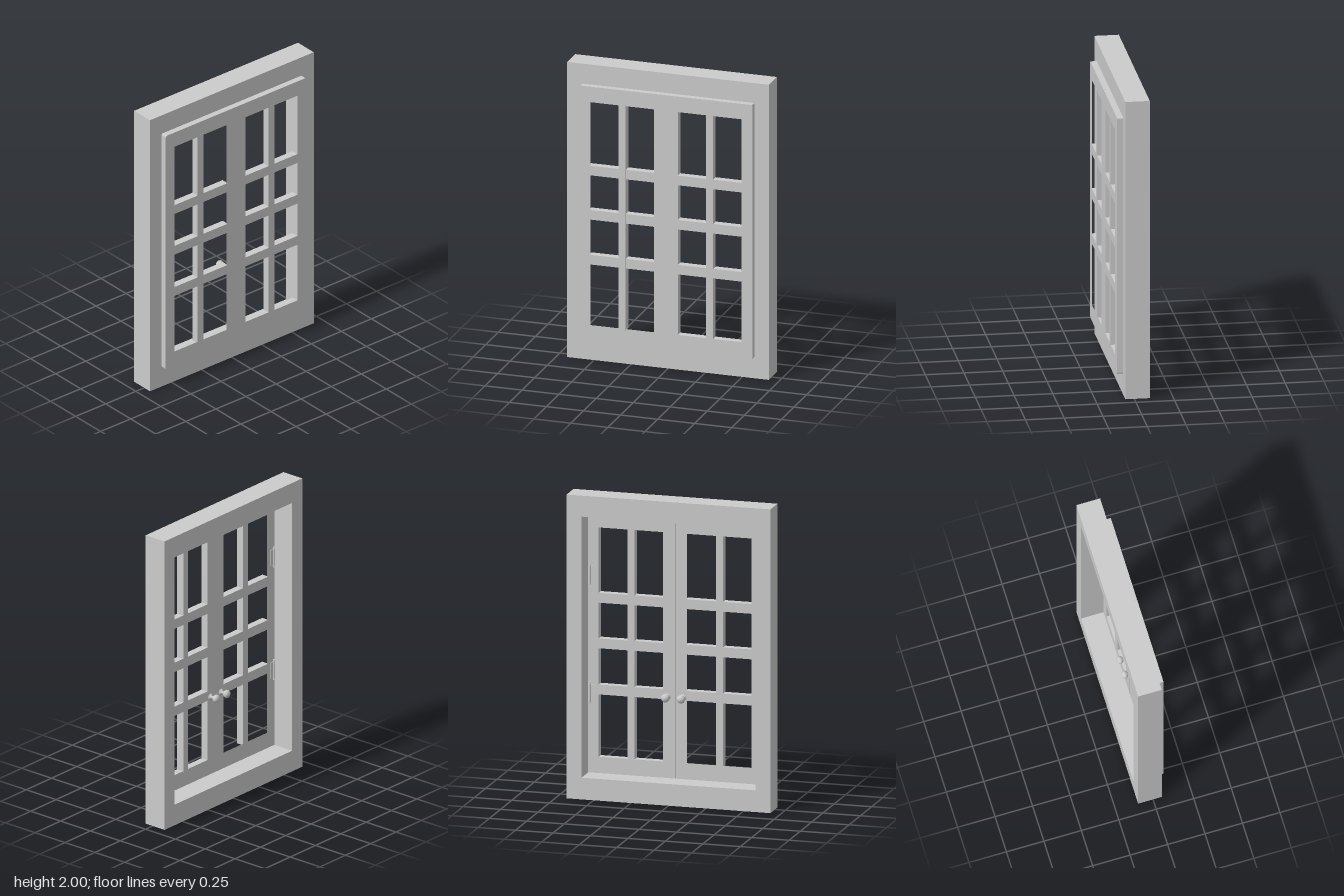
import * as THREE from 'three';

const material = new THREE.MeshStandardMaterial({ color: 0xcccccc });

function add(parent, name, geometry, x = 0, y = 0, z = 0) {
  const mesh = new THREE.Mesh(geometry, material);
  mesh.name = name;
  mesh.position.set(x, y, z);
  parent.add(mesh);
  return mesh;
}

// Rectangle outline; the two corners at the x1 side are rounded by r
function rect(x0, y0, x1, y1, r = 0, Type = THREE.Shape) {
  const s = new Type();
  s.moveTo(x0, y0);
  if (r > 0) {
    const d = Math.sign(x1 - x0) * r;
    s.lineTo(x1 - d, y0);
    s.quadraticCurveTo(x1, y0, x1, y0 + r);
    s.lineTo(x1, y1 - r);
    s.quadraticCurveTo(x1, y1, x1 - d, y1);
  } else {
    s.lineTo(x1, y0);
    s.lineTo(x1, y1);
  }
  s.lineTo(x0, y1);
  s.closePath();
  return s;
}

// Slab facing +x between two depths (shape x becomes -z)
function slab(shape, from, to) {
  return new THREE.ExtrudeGeometry(shape, { depth: to - from, bevelEnabled: false, curveSegments: 4 })
    .translate(0, 0, from).rotateY(Math.PI / 2);
}

const BACK = 0.05, FRONT = 0.099, MID = (BACK + FRONT) / 2;
const KNOB_PROFILE = [[0, 0], [0.022, 0], [0.022, 0.006], [0.01, 0.011], [0.009, 0.028], [0.019, 0.034],
  [0.026, 0.044], [0.027, 0.053], [0.022, 0.063], [0.012, 0.069], [0, 0.071]].map(p => new THREE.Vector2(...p));

// One glazed leaf; side is +1 or -1 along z
function createLeaf(side) {
  const leaf = new THREE.Group();
  leaf.name = side > 0 ? 'leftLeaf' : 'rightLeaf';

  // Stiles and rails around one large opening
  const outline = rect(-side * 0.0005, 0.14, -side * 0.5835, 1.865, 0.012);
  outline.holes.push(rect(-side * 0.08, 0.25, -side * 0.51, 1.76, 0, THREE.Path));
  add(leaf, 'leafFrame', slab(outline, BACK, FRONT));

  // Glazing bars, let into the leaf frame
  const depth = FRONT - BACK + 0.002;
  add(leaf, 'verticalBar', new THREE.BoxGeometry(depth, 1.53, 0.048), MID, 1.005, side * 0.295);
  for (const y of [0.693, 0.997, 1.297])
    add(leaf, 'horizontalBar', new THREE.BoxGeometry(depth - 0.001, 0.065, 0.45), MID, y, side * 0.295);

  // Turned knob on the inner face
  const knob = add(leaf, 'knob', new THREE.LatheGeometry(KNOB_PROFILE, 24), BACK, 0.68, side * 0.052);
  knob.rotation.z = Math.PI / 2;

  // Hinges with a leaf plate and a barrel with end caps
  for (const y of [0.67, 1.45]) {
    const hinge = new THREE.Group();
    hinge.name = 'hinge';
    hinge.position.set(BACK - 0.006, y, side * 0.568);
    add(hinge, 'hingeBarrel', new THREE.CylinderGeometry(0.009, 0.009, 0.12, 12));
    add(hinge, 'hingePlate', new THREE.BoxGeometry(0.006, 0.11, 0.03), 0.004, 0, -side * 0.015);
    for (const s of [-1, 1])
      add(hinge, 'hingeCap', new THREE.CylinderGeometry(0.006, 0.006, 0.012, 12), 0, s * 0.065);
    leaf.add(hinge);
  }
  return leaf;
}

export function createModel() {
  const model = new THREE.Group();
  model.name = 'casementWindow';

  // Deep outer frame
  const outline = rect(-0.68, 0, 0.68, 2);
  outline.holes.push(rect(-0.58, 0.143, 0.58, 1.862, 0, THREE.Path));
  add(model, 'outerFrame', slab(outline, -0.1, 0.058));

  for (const side of [1, -1]) model.add(createLeaf(side));
  return model;
}
